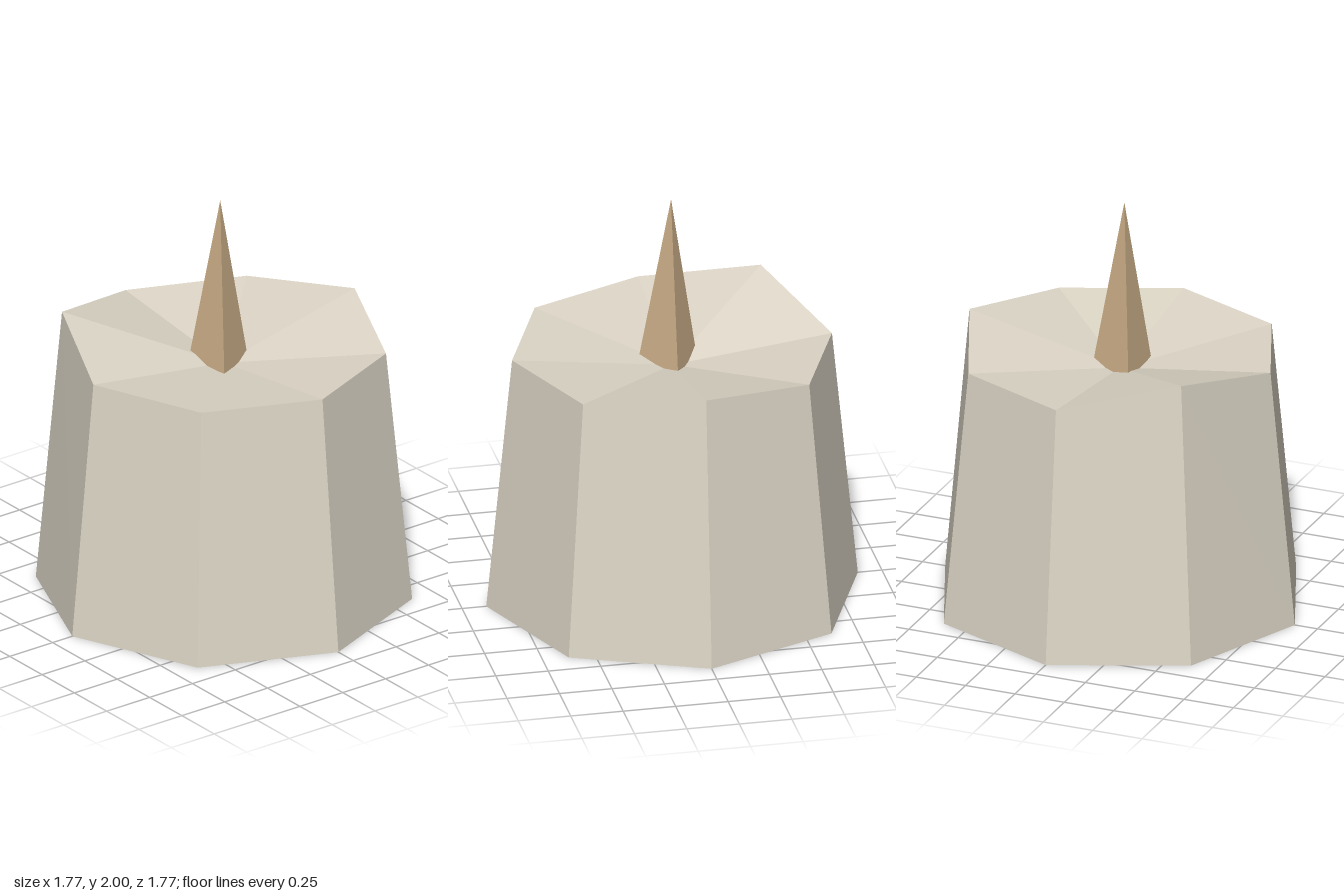
import * as THREE from 'three';

const SIDES = 8;
const BOTTOM_RADIUS = 0.885;
const TOP_RADIUS = 0.762;
// Uneven rim heights, starting at +x and turning towards +z
const RIM = [1.325, 1.255, 1.255, 1.255, 1.26, 1.37, 1.245, 1.25];
const HOLLOW = 1.157; // height of the melted centre

function ringPoint(i, radius, y) {
  const a = (i % SIDES) * Math.PI * 2 / SIDES;
  return [Math.cos(a) * radius, y, Math.sin(a) * radius];
}

function facetGeometry(triangles) {
  const geometry = new THREE.BufferGeometry();
  geometry.setAttribute('position', new THREE.Float32BufferAttribute(triangles.flat(), 3));
  geometry.computeVertexNormals();
  return geometry;
}

export function createModel() {
  const group = new THREE.Group();
  group.name = 'candle';

  const wax = new THREE.MeshStandardMaterial({ color: 0xdcd5c6, flatShading: true, side: THREE.DoubleSide });
  wax.name = 'wax';
  const wickTan = new THREE.MeshStandardMaterial({ color: 0xd2b48c, flatShading: true });
  wickTan.name = 'wick tan';

  // Tapered wall, open underneath, and sunken top
  const wall = [], top = [];
  for (let i = 0; i < SIDES; i++) {
    const j = (i + 1) % SIDES;
    const b0 = ringPoint(i, BOTTOM_RADIUS, 0), b1 = ringPoint(j, BOTTOM_RADIUS, 0);
    const t0 = ringPoint(i, TOP_RADIUS, RIM[i]), t1 = ringPoint(j, TOP_RADIUS, RIM[j]);
    wall.push(b0, t0, t1, b0, t1, b1);
    top.push(t0, [0, HOLLOW, 0], t1);
  }
  const wallMesh = new THREE.Mesh(facetGeometry(wall), wax);
  wallMesh.name = 'candleWall';
  const topMesh = new THREE.Mesh(facetGeometry(top), wax);
  topMesh.name = 'meltedTop';

  // Three-sided wick, with its foot sunk slightly into the wax
  const foot = 1.13, height = 2 - foot;
  const wick = new THREE.Mesh(
    new THREE.ConeGeometry(0.164, height, 3, 1, false, Math.PI / 2), wickTan);
  wick.position.set(-0.022, foot + height / 2, 0);
  wick.name = 'wick';

  group.add(wallMesh, topMesh, wick);
  return group;
}
